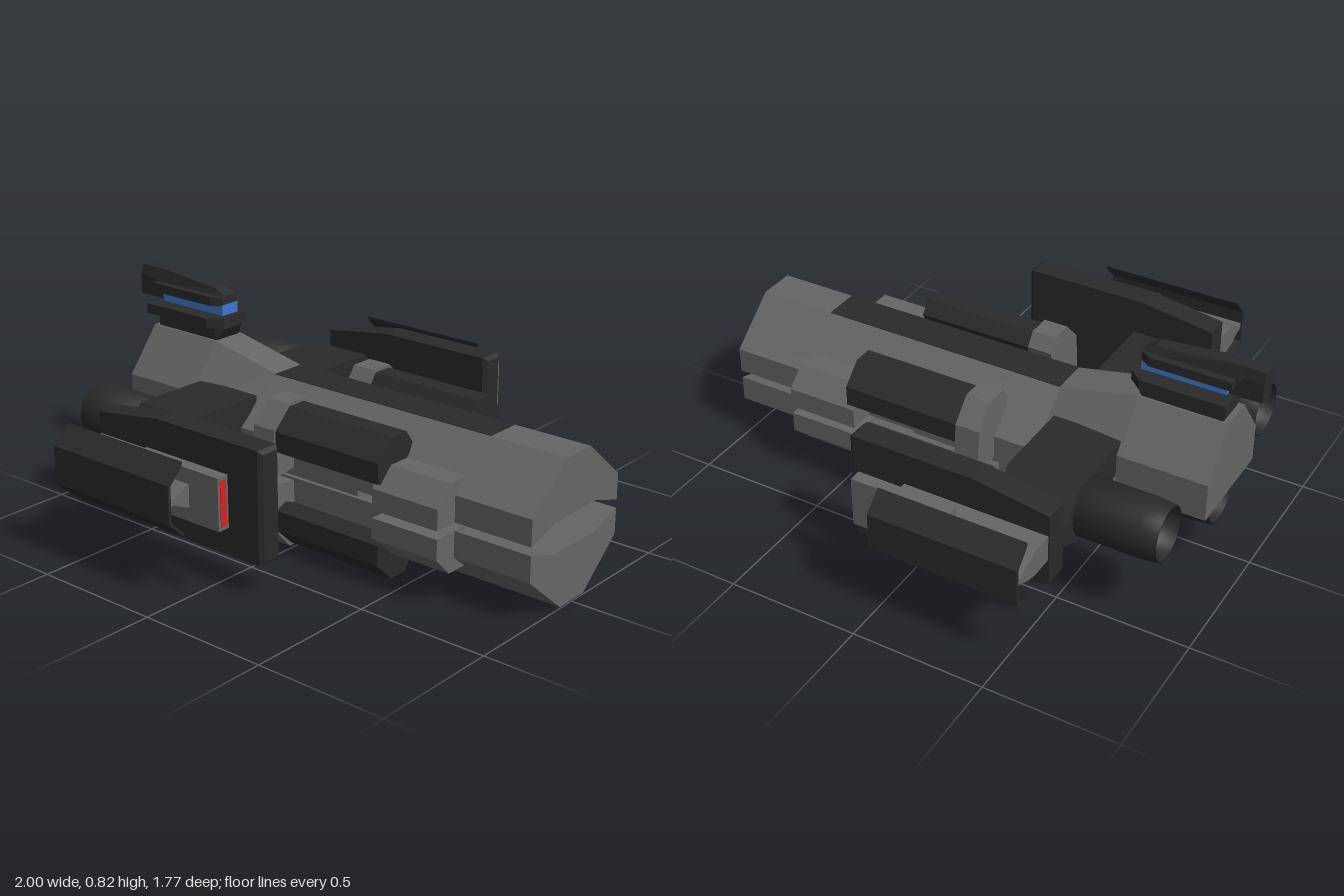
import * as THREE from 'three';

const mat = (color) => new THREE.MeshStandardMaterial({ color, flatShading: true });

// Joins [z, y] cross-sections placed at rising x positions, with both ends capped
function loft(stations) {
  const v = [];
  const rings = stations.map(([x, pts]) => {
    const p = pts.map(([z, y]) => new THREE.Vector2(z, y));
    if (THREE.ShapeUtils.isClockWise(p)) p.reverse();
    return { x, p };
  });
  const put = (r, i) => v.push(r.x, r.p[i].y, r.p[i].x);
  for (let s = 0; s < rings.length - 1; s++) {
    const a = rings[s], b = rings[s + 1], n = a.p.length;
    for (let i = 0; i < n; i++) {
      const j = (i + 1) % n;
      put(a, i); put(b, i); put(b, j);
      put(a, i); put(b, j); put(a, j);
    }
  }
  const first = rings[0], last = rings[rings.length - 1];
  for (const [i, j, k] of THREE.ShapeUtils.triangulateShape(first.p, [])) {
    put(first, i); put(first, j); put(first, k);
  }
  for (const [i, j, k] of THREE.ShapeUtils.triangulateShape(last.p, [])) {
    put(last, i); put(last, k); put(last, j);
  }
  const g = new THREE.BufferGeometry();
  g.setAttribute('position', new THREE.Float32BufferAttribute(v, 3));
  g.computeVertexNormals();
  return g;
}

const prism = (pts, x0, x1) => loft([[x0, pts], [x1, pts]]);
// Completes a half section by mirroring it across z = 0
const sym = (half) => [...half, ...half.map(([z, y]) => [-z, y]).reverse()];
const rect = (z0, z1, y0, y1) => [[z0, y0], [z1, y0], [z1, y1], [z0, y1]];
const MID = 0.268;
const flip = (pts) => pts.map(([z, y]) => [z, 2 * MID - y]);

export function createModel() {
  const model = new THREE.Group();
  const hull = mat(0x666666), dark = mat(0x2a2a2a), red = mat(0xd62222), blue = mat(0x3f78cc);
  const smoothDark = new THREE.MeshStandardMaterial({ color: 0x2a2a2a, side: THREE.DoubleSide });
  const add = (name, geometry, material) => {
    const m = new THREE.Mesh(geometry, material);
    m.name = name;
    model.add(m);
    return m;
  };

  // Main hull: upper and lower halves with a hollow slot between them at the bow
  const bow = sym([[0.12, 0.325], [0.255, 0.283], [0.255, 0.38], [0.07, 0.535]]);
  const stern = (top, shoulder) => sym([[0.12, 0.283], [0.2, 0.283], [0.2, shoulder], [0.068, top]]);
  add('upperBow', prism(bow, -0.27, 1), hull);
  add('lowerBow', prism(flip(bow), -0.11, 1), hull);
  add('upperStern', loft([
    [-0.9, stern(0.6, 0.43)], [-0.57, stern(0.6, 0.43)], [-0.26, stern(0.535, 0.39)],
  ]), hull);
  add('lowerStern', prism(sym([[0.1, 0.12], [0.2, 0.2], [0.2, 0.29]]), -0.58, -0.1), hull);
  add('hullCore', prism(rect(-0.22, 0.22, 0.19, 0.345), -0.56, 0.25), hull);
  add('spineStrip', prism(rect(-0.07, 0.07, 0.5, 0.537), -0.27, 0.7), dark);

  // Bow emitter recessed in the slot
  const ring = add('emitterRing', new THREE.CylinderGeometry(0.078, 0.078, 0.06, 32).rotateZ(-Math.PI / 2), smoothDark);
  ring.position.set(0.235, 0.275, 0);
  const lens = add('emitterLens', new THREE.CylinderGeometry(0.066, 0.066, 0.06, 32).rotateZ(-Math.PI / 2), red);
  lens.position.set(0.238, 0.275, 0);

  // Open engine nozzles: one low in the centre, one behind each wing
  const nozzle = [[0, 0.12], [0.085, 0.12], [0.094, 0], [0.1, 0], [0.107, 0.07], [0.107, 0.32], [0, 0.32]]
    .map(([r, h]) => new THREE.Vector2(r, h));
  const engine = (name, x, y, z) => {
    const g = new THREE.LatheGeometry(nozzle, 32).rotateZ(-Math.PI / 2);
    add(name, g.toNonIndexed(), smoothDark).position.set(x, y, z);
  };
  engine('centreEngine', -0.87, 0.237, 0);

  const collar = [[0.355, 0.28], [0.37, 0.3], [0.355, 0.46], [0.28, 0.54], [0.19, 0.54], [0.155, 0.49], [0.2, 0.3]];
  const nacelle = [[0.3, 0.36], [0.35, 0.38], [0.35, 0.455], [0.275, 0.528], [0.2, 0.528], [0.165, 0.48], [0.2, 0.4]];
  const sponson = [[0.2, 0.283], [0.35, 0.283], [0.35, 0.36], [0.28, 0.43], [0.18, 0.43]];
  const beam = [[0.15, 0.25], [0.47, 0.25], [0.58, 0.3], [0.58, 0.36], [0.47, 0.47], [0.15, 0.47]];
  const shield = [[0.815, 0.49], [0.885, 0.425], [0.885, 0.285], [0.815, 0.22],
    [0.82, 0.235], [0.873, 0.29], [0.873, 0.42], [0.82, 0.475]];
  const strut = [[0.66, 0.31], [0.75, 0.31], [0.8, 0.32], [0.85, 0.345], [0.878, 0.345],
    [0.878, 0.37], [0.85, 0.37], [0.8, 0.395], [0.75, 0.41], [0.66, 0.41]];

  for (const [side, s] of [['starboard', 1], ['port', -1]]) {
    const m = (pts) => pts.map(([z, y]) => [z * s, y]);

    // Nacelles above and below the hull shoulder
    for (const [level, f] of [['Upper', (p) => p], ['Lower', flip]]) {
      add(side + level + 'Collar', prism(f(m(collar)), -0.11, -0.015), hull);
      add(side + level + 'Nacelle', prism(f(m(nacelle)), -0.02, 0.445), dark);
      add(side + level + 'Sponson', prism(f(m(sponson)), 0.42, 0.695), hull);
    }

    // Wing beam and the tall plate at its end, tapered aft and bevelled in front
    add(side + 'WingBeam', prism(m(beam), -0.56, -0.29), dark);
    add(side + 'WingPlate', loft([
      [-0.56, m(rect(0.577, 0.67, 0.21, 0.49))],
      [-0.27, m(rect(0.577, 0.67, 0.12, 0.533))],
      [0.198, m(rect(0.577, 0.67, 0.12, 0.533))],
      [0.213, m(rect(0.589, 0.658, 0.133, 0.52))],
    ]), dark);
    engine(side + 'Engine', -0.857, 0.355, 0.405 * s);

    // Outer weapon pod: strut, gun box with a red face, and bent shield
    add(side + 'Strut', prism(m(strut), -0.555, -0.005), hull);
    add(side + 'GunBox', prism(m(rect(0.738, 0.785, 0.265, 0.455)), -0.25, 0.129), dark).material = hull;
    add(side + 'GunFace', prism(m(rect(0.748, 0.775, 0.277, 0.443)), 0.12, 0.131), red);
    add(side + 'Shield', prism(m(shield), -0.56, 0), dark);
  }

  // Bridge tower, stacked from neck to roof
  const box = (w, y0, y1) => rect(-w, w, y0, y1);
  add('bridgeNeck', loft([
    [-0.88, box(0.06, 0.59, 0.66)], [-0.58, box(0.06, 0.59, 0.66)], [-0.545, box(0.045, 0.645, 0.66)],
  ]), dark);
  add('bridgeDeck', loft([
    [-0.9, box(0.105, 0.655, 0.693)], [-0.585, box(0.105, 0.655, 0.693)], [-0.535, box(0.06, 0.655, 0.693)],
  ]), dark);
  add('bridgeWindow', prism(box(0.04, 0.69, 0.735), -0.875, -0.56), blue);
  add('bridgeCanopy', loft([
    [-0.9, box(0.065, 0.73, 0.765)], [-0.6, box(0.065, 0.73, 0.765)], [-0.56, box(0.04, 0.73, 0.765)],
  ]), dark);
  const roof = (y) => sym([[0.04, 0.76], [0.026, y]]);
  add('bridgeRoof', loft([
    [-0.92, roof(0.815)], [-0.87, roof(0.815)], [-0.6, roof(0.788)], [-0.56, roof(0.768)],
  ]), dark);
  add('bridgeTail', prism(sym([[0.036, 0.7], [0.036, 0.775], [0.026, 0.815]]), -1, -0.88), dark);

  return model;
}
